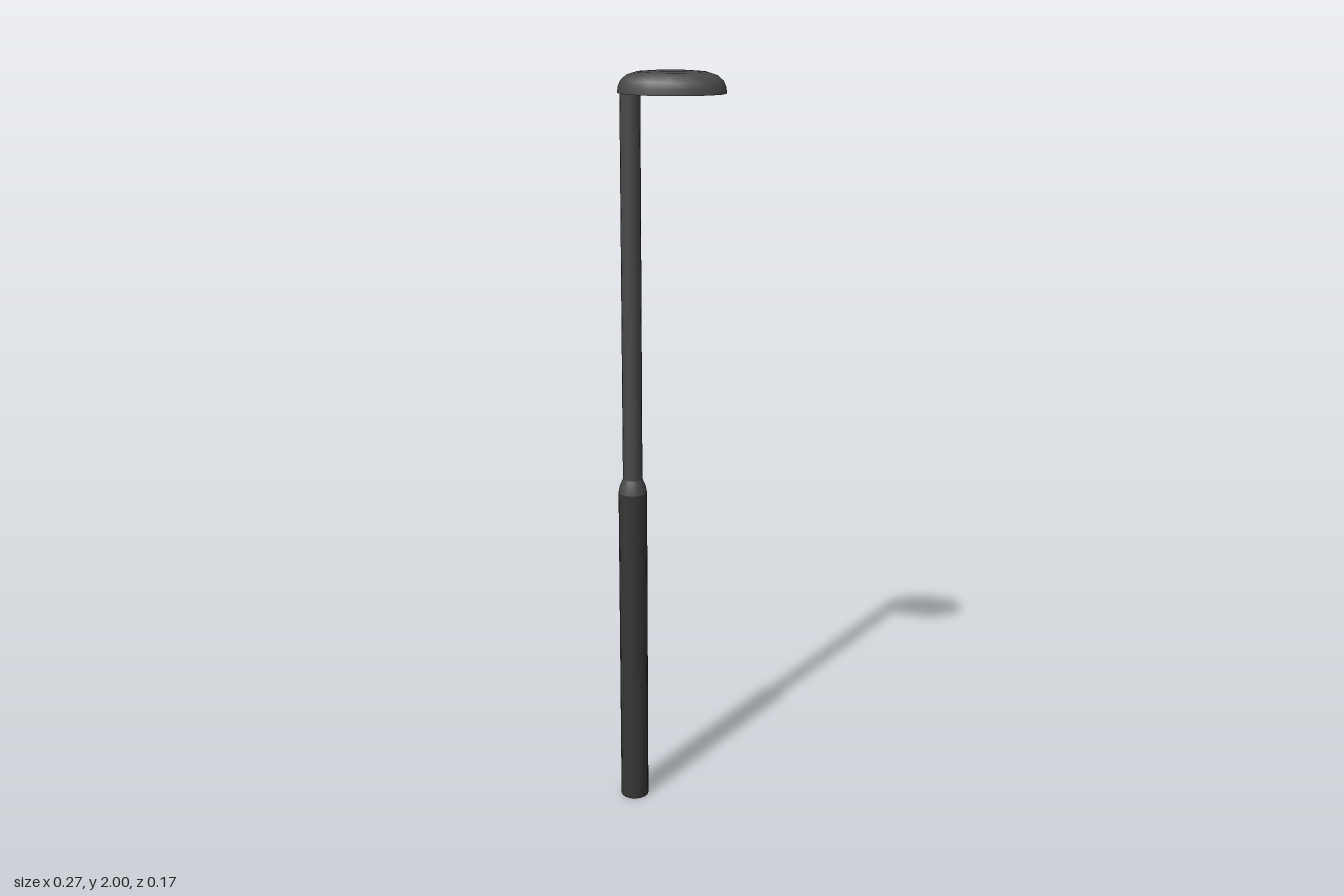
import * as THREE from 'three';

const v = (pairs) => pairs.map(([r, y]) => new THREE.Vector2(r, y));

function lathe(name, profile, sides, material) {
  const mesh = new THREE.Mesh(new THREE.LatheGeometry(v(profile), sides), material);
  mesh.name = name;
  return mesh;
}

export function createModel() {
  const group = new THREE.Group();
  group.name = 'streetLamp';
  const metal = new THREE.MeshStandardMaterial({ color: 0x484848 });
  const darkMetal = new THREE.MeshStandardMaterial({ color: 0x363636 });

  // Pole: thick lower sleeve, short taper, slim shaft
  const pole = new THREE.Group();
  pole.name = 'pole';
  pole.position.set(-0.1, 0, 0.022);
  pole.add(
    lathe('poleFoot', [[0, 0], [0.038, 0]], 16, darkMetal),
    lathe('lowerSleeve', [[0.038, 0], [0.038, 0.9]], 16, darkMetal),
    lathe('taper', [[0.038, 0.9], [0.034, 0.92], [0.026, 0.938]], 16, metal),
    lathe('upperShaft', [[0.026, 0.938], [0.026, 1.965]], 16, metal),
    lathe('shaftCap', [[0.026, 1.965], [0, 1.965]], 16, metal)
  );
  group.add(pole);

  // Lamp head: oval dome with a shallow hollow underside, turned about the vertical
  const head = new THREE.Group();
  head.name = 'lampHead';
  head.position.set(0.003, 1.945, 0);
  head.rotation.y = 0.29;
  head.scale.set(0.136, 1, 0.079);
  head.add(
    lathe('headShell', [[1, 0], [0.99, 0.015], [0.94, 0.031], [0.83, 0.044], [0.65, 0.052], [0.35, 0.055], [0, 0.055]], 16, metal),
    lathe('headUnderside', [[0, 0.022], [0.5, 0.019], [0.85, 0.01], [1, 0]], 16, metal)
  );
  group.add(head);

  return group;
}
